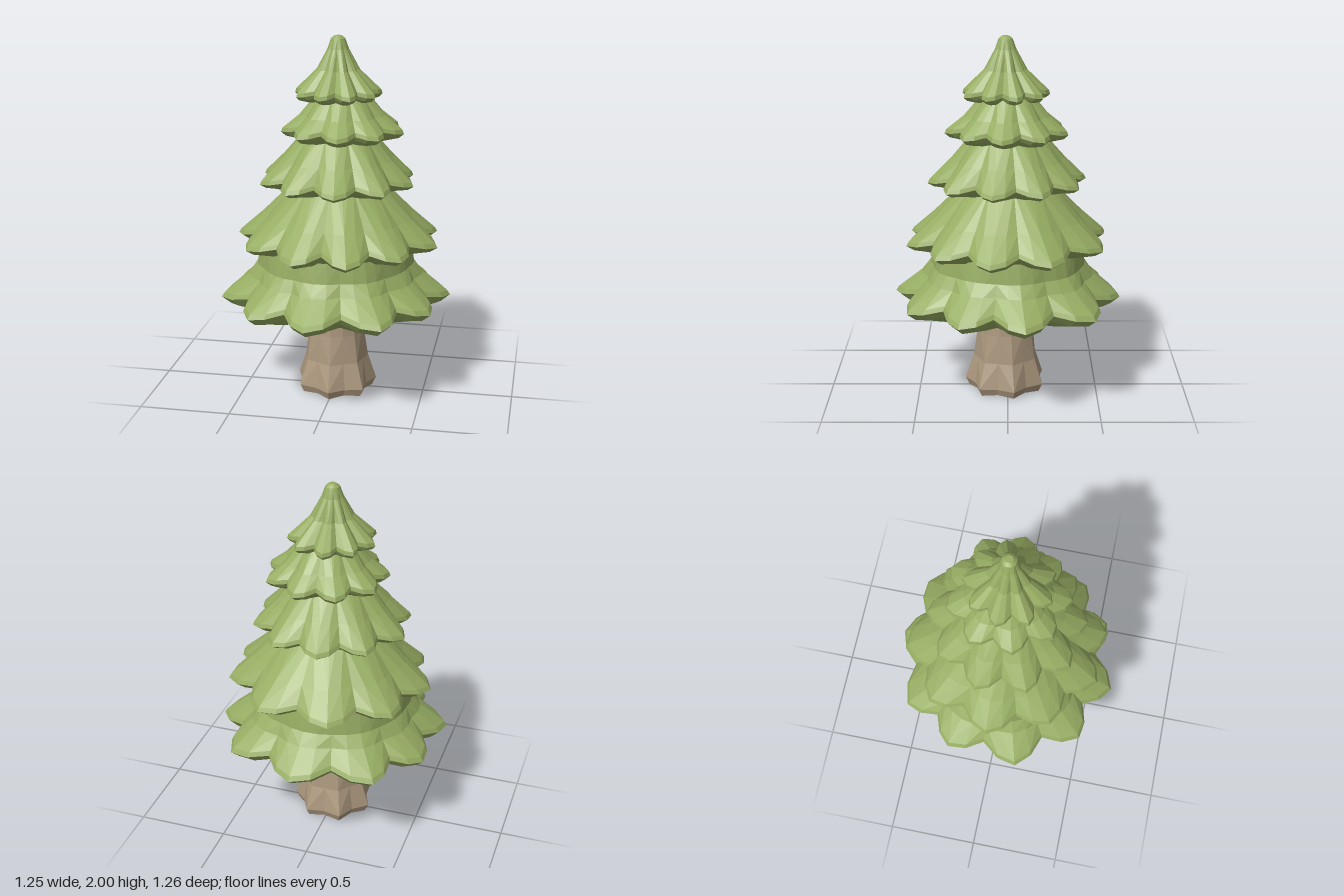
import * as THREE from 'three';

const green = new THREE.MeshStandardMaterial({ color: 0x97ad63 });
green.name = 'leaf green';
const brown = new THREE.MeshStandardMaterial({ color: 0xad997f, side: THREE.DoubleSide });
brown.name = 'bark brown';

// Small seeded generator for the hand-cut unevenness, returns -1..1
function seeded(seed) {
  let s = seed;
  return () => ((s = (s * 16807) % 2147483647) / 2147483647) * 2 - 1;
}

// Evenly spaced lobe tips, in degrees
const evenTips = (count, start) => Array.from({ length: count }, (_, i) => start + (i * 360) / count);

// Faceted loft through scalloped rings, listed from the bottom up.
// ring: [radius, y, scallop depth as share of radius, valley lift]
function lobedLoft(rings, { tips, cx = 0, cz = 0, seed = 1, wobble = 0.02, round = 1.5, steps = 4 }) {
  const lobes = tips.length;
  const n = lobes * steps;
  const rnd = seeded(seed * 7919);
  const size = tips.map(() => rnd() * wobble);
  const points = rings.map(([r, y, depth, lift]) =>
    Array.from({ length: n }, (_, k) => {
      const lobe = Math.floor(k / steps);
      const t = ((k % steps) / steps) * 2 - 1; // -1 is the valley, 0 the tip
      const f = 1 - Math.abs(t) ** round;
      // Valleys lie midway between neighbouring tips
      const near = tips[(lobe + (t < 0 ? lobes - 1 : 1)) % lobes];
      const gap = (Math.abs(near - tips[lobe]) + 360) % 360;
      const span = Math.min(gap, 360 - gap) / 2;
      const a = THREE.MathUtils.degToRad(tips[lobe] + t * span);
      const rr = r * (1 - depth * (1 - f)) * (1 + size[lobe] * f);
      return [cx + Math.cos(a) * rr, y + lift * (1 - f), cz + Math.sin(a) * rr];
    }));
  const pos = [];
  for (let j = 0; j < rings.length - 1; j++) {
    for (let k = 0; k < n; k++) {
      const m = (k + 1) % n;
      const a = points[j][k], b = points[j + 1][k], c = points[j + 1][m], d = points[j][m];
      // Flip the diagonal on each side of a lobe so the facets mirror
      const quad = k % steps < steps / 2 ? [a, b, d, b, c, d] : [a, b, c, a, c, d];
      quad.forEach((p) => pos.push(...p));
    }
  }
  const geo = new THREE.BufferGeometry();
  geo.setAttribute('position', new THREE.Float32BufferAttribute(pos, 3));
  geo.computeVertexNormals(); // unshared corners keep every facet flat
  return geo;
}

function addPart(group, name, geo, material) {
  const mesh = new THREE.Mesh(geo, material);
  mesh.name = name;
  group.add(mesh);
}

// Branch tiers: lip radius and height, underside height, scallop depth, then upper slope rings
const tiers = [
  { r: 0.63, lip: 0.56, under: 0.48, deep: 0.17, cx: -0.003, cz: -0.004,
    tips: [-85, -46, -8, 25, 58, 95, 127, 164, 201, 233],
    slope: [[0.48, 0.685, 0.06], [0.43, 0.75, 0.02], [0.41, 0.86, 0]] },
  { r: 0.565, lip: 0.885, under: 0.83, deep: 0.17, cx: 0.015, cz: -0.006,
    tips: [-64, -23, 10, 44, 76, 106, 143, 180, 217, 254],
    slope: [[0.42, 1.02, 0.07], [0.23, 1.21, 0]] },
  { r: 0.435, lip: 1.215, under: 1.175, deep: 0.19, cx: 0.013, tips: evenTips(10, -97),
    slope: [[0.315, 1.34, 0.09], [0.19, 1.48, 0.02]] },
  { r: 0.335, lip: 1.49, under: 1.445, deep: 0.21, cx: 0.035, tips: evenTips(9, -75),
    slope: [[0.235, 1.58, 0.11], [0.13, 1.7, 0.03]] },
  { r: 0.24, lip: 1.69, under: 1.655, deep: 0.26, cx: 0.013, cz: 0.012, tips: evenTips(9, -95),
    slope: [[0.118, 1.82, 0.2], [0.058, 1.93, 0.1], [0.038, 1.985, 0], [0.02, 2, 0], [0, 2, 0]] },
];

export function createModel() {
  const tree = new THREE.Group();
  tree.name = 'pineTree';

  // Foliage, each tier a skirt with a thick scalloped lip and hollowed underside
  tiers.forEach((t, i) => {
    const { r, lip, under, deep } = t;
    const edge = lip - under;
    const lift = r * 0.06;
    const rings = [
      [0, under + edge * 0.8, 0, 0],
      [r * 0.7, under, deep * 0.5, edge * 0.25],
      [r * 0.92, under + edge * 0.4, deep, lift],
      [r, lip - edge * 0.1, deep, lift],
      [r * 0.975, lip + 0.018, deep, lift],
      ...t.slope.map(([radius, y, d]) => [radius, y, d, 0]),
    ];
    addPart(tree, `branchTier${i + 1}`, lobedLoft(rings, { ...t, seed: i + 3 }), green);
  });

  // Open-ended trunk flaring into lobed roots
  const trunk = [
    [0.208, 0, 0.16, 0.008],
    [0.23, 0.045, 0.18, 0],
    [0.182, 0.19, 0.09, 0],
    [0.158, 0.35, 0.02, 0],
    [0.147, 0.56, 0.02, 0],
  ];
  addPart(tree, 'trunk',
    lobedLoft(trunk, { tips: evenTips(7, -12), cx: 0.002, cz: 0.012, seed: 21, round: 2, steps: 2 }), brown);

  return tree;
}
